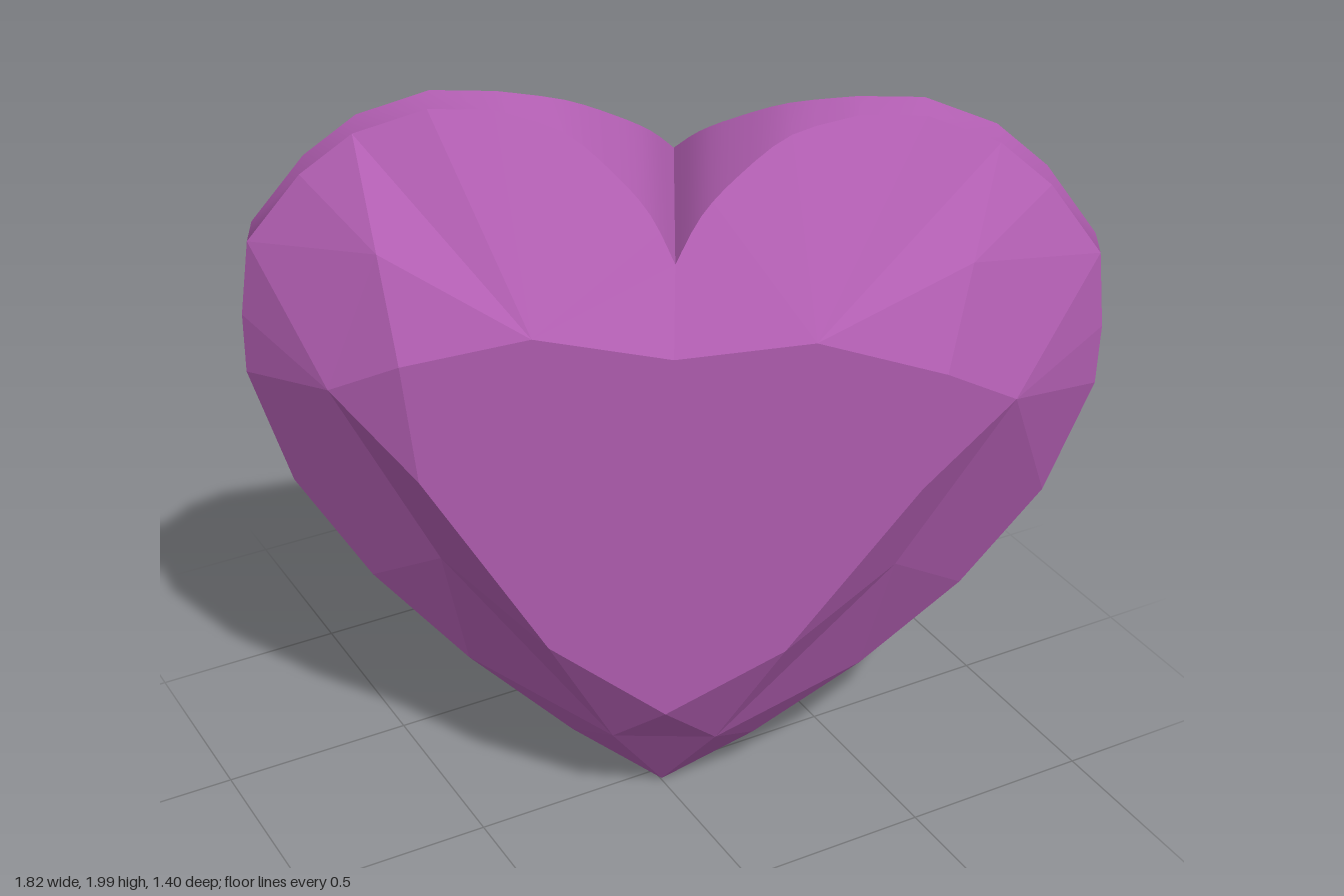
import * as THREE from 'three';

// Tilted gem frame: U across, V from tip to cleft, N out of the table.
const N = new THREE.Vector3(-0.478, -0.074, 0.875).normalize();
const V = new THREE.Vector3(-0.022, 0.997, 0.073).normalize();
const U = new THREE.Vector3().crossVectors(V, N).normalize();
const TIP = new THREE.Vector3(0.025, 0.01, 0);
const GIRDLE = 0.045, CULET = [0, 1.097, -0.892], LOBE_TOP = 1.985, TABLE = 0.33;

// Right half of the heart outline, tip to lobe, then a smooth curve into the cleft
function halfOutline() {
  const outer = [[0, 0], [0.235, 0.167], [0.5, 0.405], [0.735, 0.67], [0.915, 0.96], [1.01, 1.275],
    [1.01, 1.435], [0.985, 1.635], [0.855, 1.813], [0.73, 1.92], [0.56, LOBE_TOP]];
  const cleft = new THREE.SplineCurve([[0.41, LOBE_TOP], [0.257, 1.945], [0.14, 1.865], [0.057, 1.785], [0, 1.69]]
    .map(p => new THREE.Vector2(...p))).getPoints(12);
  // The outer part has an even girdle; in the cleft it is cut by the crown slope and the pavilion cone
  const rim = outer.map(([u, v]) => ({ u, v, top: GIRDLE, bottom: -GIRDLE }));
  for (const p of cleft) {
    const drop = Math.max(0, LOBE_TOP - p.y);
    const ratio = 1 - drop / (LOBE_TOP - CULET[1]);
    rim.push({ u: p.x, v: p.y, top: GIRDLE + 0.57 * drop, bottom: CULET[2] + (-GIRDLE - CULET[2]) * ratio });
  }
  return rim;
}

// Geometry from local [u, v, h] points; side = -1 mirrors and flips the winding
function build(points, triangles, side) {
  const pos = [];
  for (const [u, v, h] of points) {
    const p = TIP.clone().addScaledVector(U, u * side).addScaledVector(V, v).addScaledVector(N, h);
    pos.push(p.x, p.y, p.z);
  }
  const geo = new THREE.BufferGeometry();
  geo.setAttribute('position', new THREE.Float32BufferAttribute(pos, 3));
  geo.setIndex(triangles.flatMap(([a, b, c]) => (side > 0 ? [a, b, c] : [a, c, b])));
  geo.computeVertexNormals();
  return geo;
}

// Flat facets: table, star and kite facets down to the girdle
function crown(rim, side) {
  const points = [], triangles = [];
  const fan = (centre, ring) => {
    for (let i = 0; i < ring.length - 1; i++) {
      const k = points.length;
      points.push(centre, ring[i], ring[i + 1]);
      triangles.push([k, k + 1, k + 2]);
    }
  };
  const G = rim.map(r => [r.u, r.v, r.top]);
  const [A, B, C, D, E, F] = [[0, 1.51], [0.32, 1.56], [0.62, 1.48], [0.585, 1.16], [0.287, 0.67], [0, 0.465]]
    .map(p => [...p, TABLE]);
  const M1 = [0.67, 1.71, 0.22], M2 = [0.793, 1.365, 0.254], M3 = [0.55, 0.85, 0.21];
  const M4 = [0.13, 0.29, 0.21], M5 = [0, 0.29, 0.21];
  fan(F, [E, D, C, B, A]);
  fan(B, [...G.slice(9), A]);
  fan(M1, [M2, G[7], G[8], G[9], B, C, M2]);
  fan(M2, [C, D, M3, G[4], G[5], G[6], G[7]]);
  fan(M3, [D, E, M4, G[2], G[3], G[4]]);
  fan(M4, [E, F, M5, G[0], G[1], G[2]]);
  return build(points, triangles, side);
}

// Band around the outline, including the cleft wall
function girdle(rim, side) {
  const points = rim.flatMap(r => [[r.u, r.v, r.bottom], [r.u, r.v, r.top]]);
  const triangles = [];
  for (let i = 0; i < rim.length - 1; i++) {
    const k = 2 * i;
    triangles.push([k, k + 2, k + 3], [k, k + 3, k + 1]);
  }
  return build(points, triangles, side);
}

// Smooth cone from the lower girdle edge to the culet
function pavilion(rim, side) {
  const points = rim.map(r => [r.u, r.v, r.bottom]);
  const triangles = [];
  for (let i = 0; i < rim.length - 1; i++) {
    triangles.push([points.length, i + 1, i]);
    points.push(CULET);
  }
  return build(points, triangles, side);
}

export function createModel() {
  const gem = new THREE.Group();
  gem.name = 'heartGem';
  const smooth = new THREE.MeshStandardMaterial({ color: 0xb560b5 });
  const faceted = new THREE.MeshStandardMaterial({ color: 0xb560b5, flatShading: true });
  const rim = halfOutline();
  for (const [side, label] of [[1, 'left'], [-1, 'right']]) {
    const add = (name, geo, mat) => {
      const mesh = new THREE.Mesh(geo, mat);
      mesh.name = label + name;
      gem.add(mesh);
    };
    add('Crown', crown(rim, side), faceted);
    add('Girdle', girdle(rim, side), smooth);
    add('Pavilion', pavilion(rim, side), smooth);
  }
  return gem;
}
